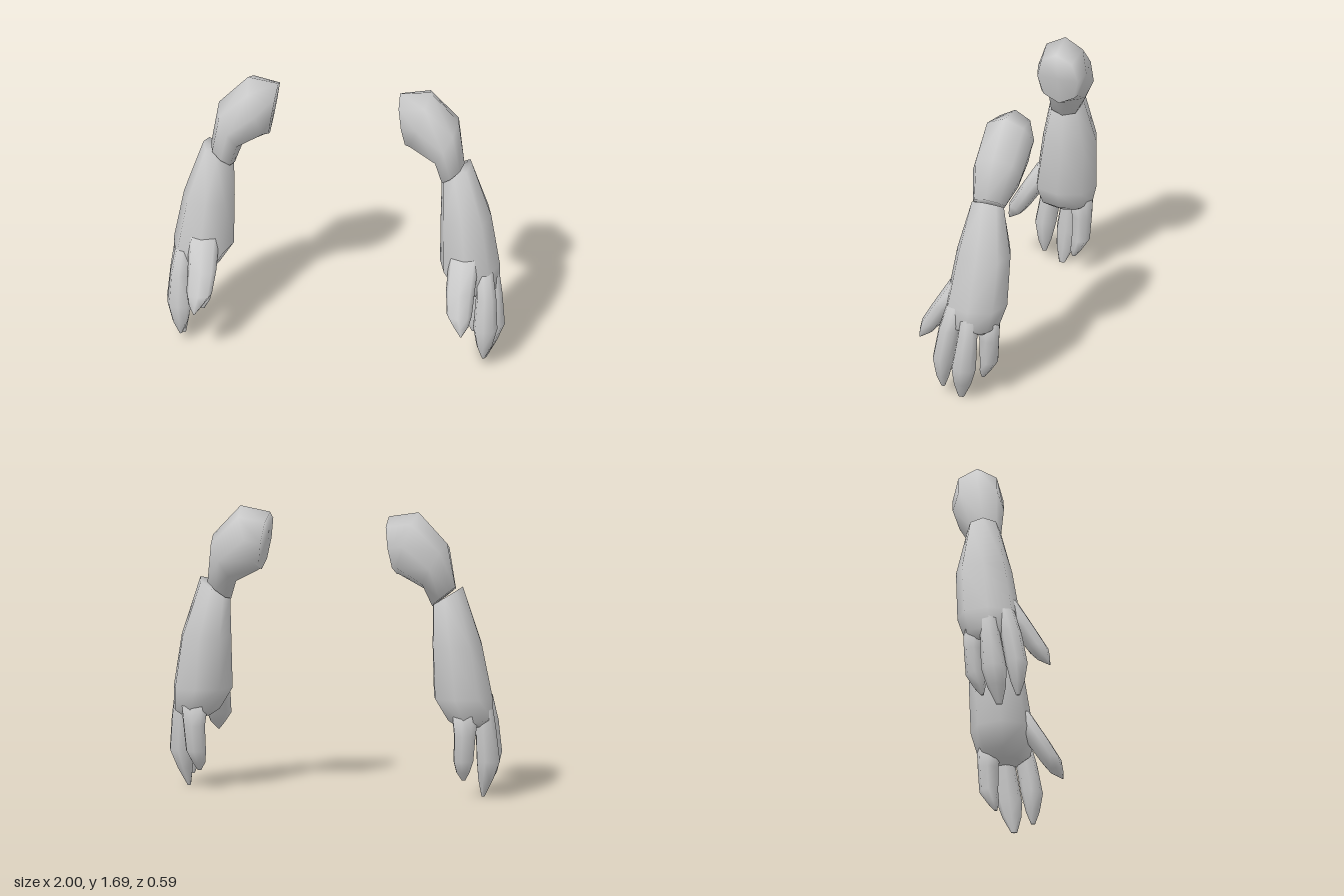
import * as THREE from 'three';

const SIDES = 8;
const material = new THREE.MeshStandardMaterial({ color: 0xcccccc, side: THREE.DoubleSide });

// Skin through rings [x, y, z, halfX, halfZ, tiltY]; tiltY lifts the ring's outer (+x) end.
// side = 1 builds the left arm, side = -1 mirrors it.
function loft(name, rings, side) {
  const pos = [], index = [];
  const tri = (a, b, c) => (side > 0 ? index.push(a, b, c) : index.push(a, c, b));
  for (const [x, y, z, hx, hz, tilt = 0] of rings) {
    for (let i = 0; i < SIDES; i++) {
      const t = (i / SIDES) * Math.PI * 2, c = Math.cos(t), s = Math.sin(t);
      // slightly squared ellipse keeps the limb full between its extremes
      const k = i % 2 ? 1.06 : 1;
      pos.push(side * (x + hx * c * k), y + tilt * c, z + hz * s * k);
    }
  }
  for (let r = 0; r < rings.length - 1; r++) {
    for (let i = 0; i < SIDES; i++) {
      const j = (i + 1) % SIDES;
      const a = r * SIDES + i, b = r * SIDES + j;
      tri(a, b, b + SIDES);
      tri(a, b + SIDES, a + SIDES);
    }
  }
  // end caps
  const last = rings.length - 1;
  [0, last].forEach((r) => {
    const [x, y, z] = rings[r];
    const centre = pos.length / 3;
    pos.push(side * x, y, z);
    for (let i = 0; i < SIDES; i++) {
      const a = r * SIDES + i, b = r * SIDES + ((i + 1) % SIDES);
      r === 0 ? tri(centre, b, a) : tri(centre, a, b);
    }
  });
  const geo = new THREE.BufferGeometry();
  geo.setAttribute('position', new THREE.Float32BufferAttribute(pos, 3));
  geo.setIndex(index);
  geo.computeVertexNormals();
  const mesh = new THREE.Mesh(geo, material);
  mesh.name = name;
  return mesh;
}

const PARTS = {
  // bends from the shoulder end down to the elbow
  upperArm: [
    [0.385, 1.49, -0.15, -0.025, 0.125, 0.17],
    [0.48, 1.505, -0.145, 0.06, 0.15, 0.185],
    [0.64, 1.375, -0.135, 0.07, 0.15, 0.135],
    [0.68, 1.19, -0.1, 0.07, 0.1, 0.06],
  ],
  // collar, forearm and palm
  forearm: [
    [0.705, 1.195, -0.1, 0.09, 0.1, 0.06],
    [0.76, 0.91, -0.095, 0.15, 0.165],
    [0.788, 0.6, -0.065, 0.178, 0.185],
    [0.828, 0.47, -0.055, 0.137, 0.155],
    [0.83, 0.43, -0.055, 0.08, 0.1],
  ],
  thumb: [
    [0.77, 0.7, 0.03, 0.09, 0.08],
    [0.765, 0.53, 0.145, 0.085, 0.068],
    [0.77, 0.41, 0.22, 0.075, 0.062],
    [0.785, 0.35, 0.25, 0.045, 0.042],
    [0.79, 0.3, 0.29, 0.004, 0.004],
  ],
  indexFinger: [
    [0.89, 0.6, 0.03, 0.05, 0.06],
    [0.905, 0.45, 0.07, 0.06, 0.062],
    [0.905, 0.26, 0.103, 0.072, 0.064],
    [0.9, 0.14, 0.108, 0.045, 0.04],
    [0.895, 0.06, 0.11, 0.008, 0.012],
  ],
  middleFinger: [
    [0.91, 0.58, -0.06, 0.05, 0.05],
    [0.92, 0.42, -0.05, 0.062, 0.06],
    [0.93, 0.22, -0.03, 0.07, 0.075],
    [0.91, 0.11, -0.015, 0.045, 0.055],
    [0.89, 0.005, 0, 0.008, 0.018],
  ],
  smallFinger: [
    [0.82, 0.5, -0.145, 0.08, 0.07],
    [0.82, 0.38, -0.15, 0.065, 0.06],
    [0.81, 0.23, -0.145, 0.06, 0.055],
    [0.8, 0.16, -0.12, 0.04, 0.035],
    [0.8, 0.11, -0.105, 0.01, 0.01],
  ],
};

export function createModel() {
  const model = new THREE.Group();
  model.name = 'armPair';
  for (const side of [1, -1]) {
    const arm = new THREE.Group();
    arm.name = side > 0 ? 'leftArm' : 'rightArm';
    for (const [name, rings] of Object.entries(PARTS)) arm.add(loft(name, rings, side));
    model.add(arm);
  }
  return model;
}
